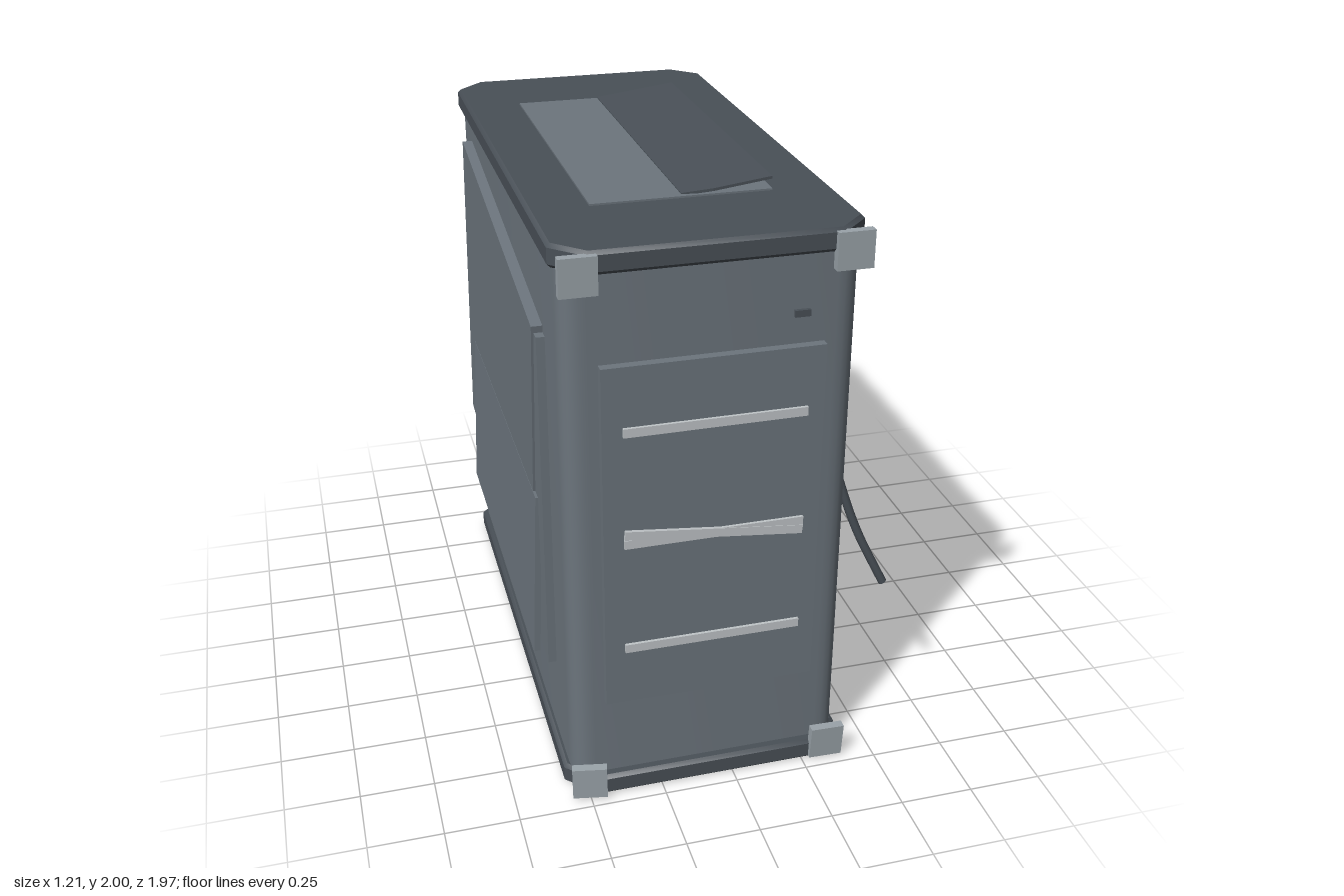
import * as THREE from 'three';
import { toCreasedNormals } from 'three/addons/utils/BufferGeometryUtils.js';

const mat = (name, color) => {
  const m = new THREE.MeshStandardMaterial({ color });
  m.name = name;
  return m;
};

export function createModel() {
  const group = new THREE.Group();
  const steel = mat('steel grey', 0x6c757d);
  const dark = mat('dark grey', 0x495057);
  const clip = mat('clip grey', 0x9aa3a9);
  const pale = mat('pale grey', 0xc0c5c8);

  const add = (name, geometry, material) => {
    const mesh = new THREE.Mesh(geometry, material);
    mesh.name = name;
    group.add(mesh);
    return mesh;
  };
  // Box given by its limits on each axis
  const box = (name, material, [x0, x1], [y0, y1], [z0, z1]) => {
    const mesh = add(name, new THREE.BoxGeometry(x1 - x0, y1 - y0, z1 - z0), material);
    mesh.position.set((x0 + x1) / 2, (y0 + y1) / 2, (z0 + z1) / 2);
    return mesh;
  };
  // Upright slab with cut or rounded corners, centred on the cabinet axis
  const slab = (name, material, w, d, corner, round, y0, y1, bevel) => {
    const s = new THREE.Shape();
    const a = w / 2 - bevel, b = d / 2 - bevel, c = corner;
    const turn = (cx, cy, x, y) => round ? s.quadraticCurveTo(cx, cy, x, y) : s.lineTo(x, y);
    s.moveTo(-a + c, -b);
    s.lineTo(a - c, -b);
    turn(a, -b, a, -b + c);
    s.lineTo(a, b - c);
    turn(a, b, a - c, b);
    s.lineTo(-a + c, b);
    turn(-a, b, -a, b - c);
    s.lineTo(-a, -b + c);
    turn(-a, -b, -a + c, -b);
    const g = new THREE.ExtrudeGeometry(s, {
      depth: y1 - y0 - 2 * bevel, curveSegments: 6,
      bevelEnabled: bevel > 0, bevelSize: bevel, bevelThickness: bevel, bevelSegments: 1,
    });
    g.rotateX(-Math.PI / 2);
    const mesh = add(name, toCreasedNormals(g, 0.6), material);
    mesh.position.set(-0.085, y0 + bevel, -0.015);
  };
  // Flat sheet with an outline in (u, v) and a thickness along its own normal
  const sheet = (name, material, points, thickness) => {
    const s = new THREE.Shape(points.map(([u, v]) => new THREE.Vector2(u, v)));
    return add(name, new THREE.ExtrudeGeometry(s, { depth: thickness, bevelEnabled: false }), material);
  };

  // Cabinet and its two caps
  slab('body', steel, 0.93, 1.87, 0.08, true, 0.04, 1.92, 0);
  slab('bottomCap', dark, 0.97, 1.94, 0.09, false, 0.005, 0.08, 0.012);
  slab('topCap', dark, 0.97, 1.94, 0.09, false, 1.88, 1.955, 0.012);

  // Front panel with trim bars, the middle one doubled by a slipped bar
  box('frontPanel', steel, [-0.44, 0.265], [0.375, 1.585], [0.9, 0.95]);
  for (const y of [0.59, 0.98, 1.37]) {
    box('trimBar', pale, [-0.375, 0.21], [y - 0.015, y + 0.015], [0.94, 0.96]);
  }
  const slipped = box('slippedBar', pale, [-0.375, 0.21], [0.967, 0.997], [0.942, 0.962]);
  slipped.rotation.z = -0.11;
  box('button', dark, [0.165, 0.215], [1.675, 1.697], [0.9, 0.932]);

  // Corner clips, the lower right one twisted
  for (const x of [-0.503, 0.332]) {
    for (const y of [0.077, 1.887]) {
      const c = box('cornerClip', clip, [x - 0.058, x + 0.058], [y - 0.06, y + 0.06], [0.943, 0.972]);
      if (y < 1) c.rotation.set(0.04, x < 0 ? -0.2 : 0, x < 0 ? 0.02 : -0.03);
    }
  }

  // Left side: panel and the dark pane leaning out at its top
  box('leftPanel', steel, [0.36, 0.405], [0.375, 1.585], [-0.695, 0.675]);
  const pane = sheet('leaningPane', dark,
    [[-0.615, 0], [0.695, 0], [0.695, 0.606], [-0.605, 0.606], [-0.58, 0.19]], 0.022);
  pane.rotation.order = 'YXZ';
  pane.rotation.set(0.062, Math.PI / 2, 0);
  pane.position.set(0.393, 0.98, 0);

  // Right side: panel, a crooked cover and a flap leaning out at its foot
  box('rightPanel', steel, [-0.578, -0.53], [0.375, 1.585], [-0.695, 0.675]);
  const cover = box('crookedCover', steel, [-0.586, -0.55], [0.5, 1.71], [-0.805, 0.565]);
  cover.rotation.x = 0.14;
  const flap = box('leaningFlap', steel, [-0.6, -0.578], [0.375, 0.98], [-0.695, 0.6]);
  flap.rotation.z = -0.043;

  // Top vent with its lifted lid
  box('ventPlate', steel, [-0.38, 0.205], [1.94, 1.961], [-0.605, 0.575]);
  const lid = sheet('ventLid', dark,
    [[0, -0.555], [0.1, -0.572], [0.292, -0.572], [0.292, 0.605], [0, 0.605]], 0.009);
  lid.rotation.order = 'ZXY';
  lid.rotation.set(-Math.PI / 2, 0, 0.125);
  lid.position.set(-0.085, 1.955, 0);

  // Bent handle hanging off the left side
  const path = new THREE.CatmullRomCurve3([
    [0.375, 1.14, 0.727], [0.415, 0.99, 0.735], [0.487, 0.78, 0.75], [0.588, 0.565, 0.77],
  ].map((p) => new THREE.Vector3(...p)));
  add('handle', new THREE.TubeGeometry(path, 20, 0.015, 10), dark);
  const ends = [[0, -1], [1, 1]];
  for (const [t, dir] of ends) {
    const end = add('handleEnd', new THREE.CircleGeometry(0.015, 10), dark);
    const p = path.getPoint(t);
    end.position.copy(p);
    end.lookAt(p.clone().addScaledVector(path.getTangent(t), dir));
  }
  return group;
}
